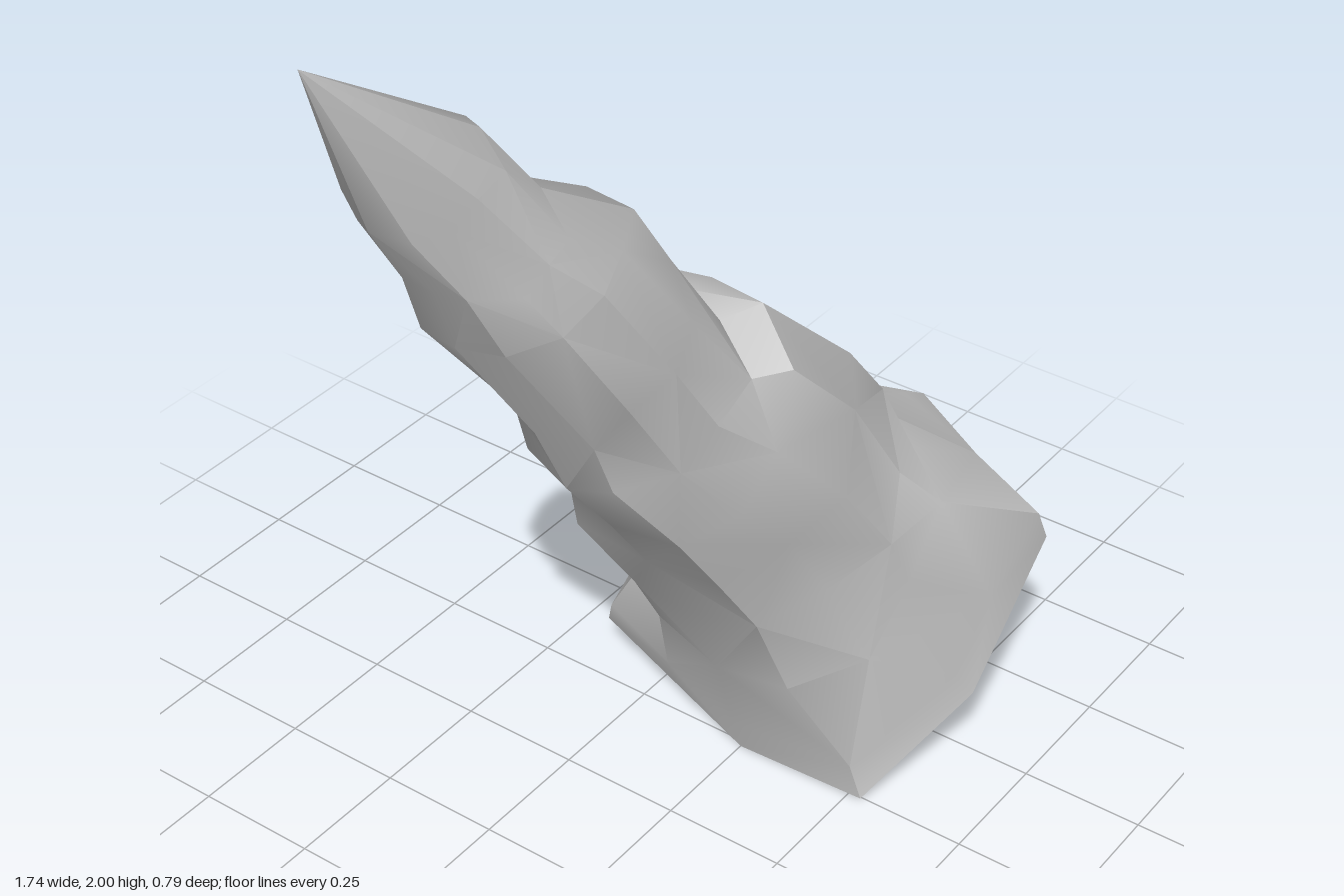
import * as THREE from 'three';
import { toCreasedNormals } from 'three/addons/utils/BufferGeometryUtils.js';

const SIDES = 12;

// Rings up the leaning spike: [leftX, leftY, rightX, rightY, frontDepth, backDepth]
const RINGS = [
  [0.15, 0.26, 0.55, 0.68, 0.31, 0.30],
  [0.05, 0.46, 0.48, 0.80, 0.295, 0.27],
  [-0.07, 0.65, 0.31, 0.99, 0.285, 0.26],
  [-0.18, 0.80, 0.12, 1.16, 0.24, 0.24],
  [-0.30, 0.95, 0.02, 1.19, 0.205, 0.205],
  [-0.38, 1.11, -0.11, 1.36, 0.18, 0.18],
  [-0.57, 1.38, -0.23, 1.51, 0.175, 0.165],
  [-0.61, 1.50, -0.40, 1.61, 0.135, 0.125],
  [-0.75, 1.68, -0.52, 1.77, 0.108, 0.12],
];

// Broken base outline: [position across from left -1 to right 1, z]
const BASE = [[1, 0], [0.78, 0.19], [0.56, 0.38], [0.14, 0.385], [-0.29, 0.39], [-0.98, 0.28],
  [-1, 0], [-0.85, -0.2], [-0.7, -0.4], [-0.18, -0.365], [0.34, -0.33], [0.89, -0.23]];

// Rim just above the break: [position across, z, height along the axis]
const RIM = [[0.92, 0, 0.08], [0.77, 0.2, 0.08], [0.6, 0.385, 0.1], [0.14, 0.37, 0.09],
  [-0.27, 0.37, 0.07], [-0.88, 0.26, 0.07], [-0.93, 0, 0.08], [-0.8, -0.19, 0.08],
  [-0.66, -0.36, 0.09], [-0.16, -0.345, 0.1], [0.32, -0.32, 0.08], [0.82, -0.21, 0.08]];

const TIP = [-0.87, 2, 0];

function seeded(seed) {
  return () => {
    seed = (seed * 16807) % 2147483647;
    return seed / 2147483647;
  };
}

export function createModel() {
  const random = seeded(41);
  const positions = [];

  // Base and rim loops follow the slanted plane of the break
  for (const [u, z, lift = 0] of [...BASE, ...RIM]) {
    positions.push(0.5525 + 0.3175 * u - 0.62 * lift, 0.25 + 0.25 * u + 0.78 * lift, z);
  }

  // Chipped loops; corners wander, but the four ridges keep their width
  for (const [lx, ly, rx, ry, front, back] of RINGS) {
    for (let k = 0; k < SIDES; k++) {
      const angle = (k / SIDES) * Math.PI * 2;
      const bulge = k % 3 ? 0.93 + random() * 0.2 : 1;
      const u = Math.cos(angle) * bulge;
      const depth = Math.sin(angle) * bulge;
      const slide = k % 6 ? (random() - 0.5) * 0.09 : 0;
      positions.push(
        (lx + rx) / 2 + ((rx - lx) / 2) * u - 0.62 * slide,
        (ly + ry) / 2 + ((ry - ly) / 2) * u + 0.78 * slide,
        depth * (depth > 0 ? front : back),
      );
    }
  }

  const tip = positions.length / 3;
  positions.push(...TIP);
  const baseCentre = tip + 1;
  positions.push(0.5525, 0.25, 0);

  // Skin the loops, alternating the diagonals for a chipped look
  const index = [];
  const bands = RINGS.length + 1;
  for (let r = 0; r < bands; r++) {
    for (let k = 0; k < SIDES; k++) {
      const n = (k + 1) % SIDES;
      const a = r * SIDES + k, b = r * SIDES + n;
      const c = a + SIDES, d = b + SIDES;
      if ((r + k) % 2) index.push(a, c, b, b, c, d);
      else index.push(a, c, d, a, d, b);
    }
  }
  // Pointed top and flat broken base
  const last = bands * SIDES;
  for (let k = 0; k < SIDES; k++) {
    const n = (k + 1) % SIDES;
    index.push(last + k, tip, last + n);
    index.push(baseCentre, k, n);
  }

  const geometry = new THREE.BufferGeometry();
  geometry.setAttribute('position', new THREE.Float32BufferAttribute(positions, 3));
  geometry.setIndex(index);

  const spike = new THREE.Mesh(
    toCreasedNormals(geometry, 0.6),
    new THREE.MeshStandardMaterial({ color: 0xcccccc }),
  );
  spike.name = 'rockSpike';

  const group = new THREE.Group();
  group.name = 'leaningRock';
  group.add(spike);
  return group;
}
